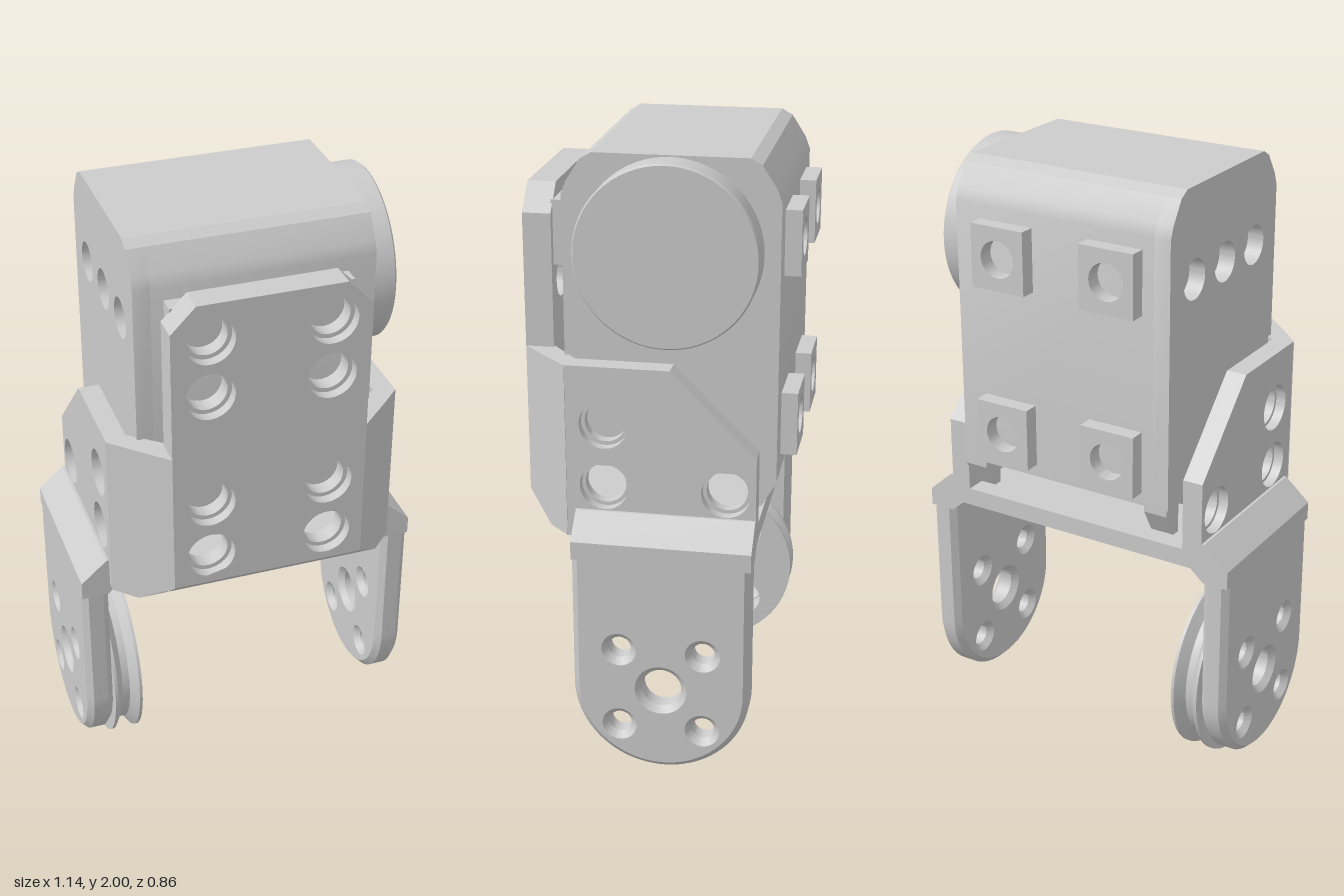
import * as THREE from 'three';
import { toCreasedNormals } from 'three/addons/utils/BufferGeometryUtils.js';

const grey = new THREE.MeshStandardMaterial({ color: 0xcccccc });
const AXIS_Y = 0.31, HORN_Y = 1.71, AXIS_Z = -0.045; // joint axes run along x

function makeShape(points, holes = []) {
  const shape = new THREE.Shape(points.map(([a, b]) => new THREE.Vector2(a, b)));
  for (const [a, b, r] of holes) shape.holes.push(new THREE.Path().absarc(a, b, r, 0, Math.PI * 2, true));
  return shape;
}

// Extrude a shape from lo to hi along an axis. Shape planes: x -> (z,y), y -> (x,z), z -> (x,y)
function extrude(shape, axis, lo, hi, bevel = 0) {
  const geo = new THREE.ExtrudeGeometry(shape, {
    depth: hi - lo - 2 * bevel, curveSegments: 24, bevelEnabled: bevel > 0,
    bevelThickness: bevel, bevelSize: bevel, bevelOffset: -bevel, bevelSegments: 1,
  });
  geo.translate(0, 0, bevel);
  if (axis === 'x') geo.rotateY(-Math.PI / 2).translate(hi, 0, 0);
  else if (axis === 'y') geo.rotateX(Math.PI / 2).translate(0, hi, 0);
  else geo.translate(0, 0, lo);
  return geo;
}

// Slope the lower front edge of the bracket
function slopeBottom(geo) {
  const p = geo.attributes.position;
  for (let i = 0; i < p.count; i++) {
    if (p.getY(i) < 0.8) p.setY(i, 0.79 + Math.max(0, p.getZ(i) - 0.34) * 0.9);
  }
  geo.computeVertexNormals();
  return geo;
}

export function createModel() {
  const model = new THREE.Group();
  const add = (name, geo, parent = model) => {
    const mesh = new THREE.Mesh(toCreasedNormals(geo, 0.45), grey);
    mesh.name = name;
    parent.add(mesh);
    return mesh;
  };
  const group = (name) => {
    const g = new THREE.Group();
    g.name = name;
    model.add(g);
    return g;
  };

  // Motor housing, with a row of blind holes on its right end
  const motor = group('motor');
  const profile = [[0.29, 1.08], [0.29, 1.87], [0.275, 1.91], [0.23, 1.98], [0.195, 2], [-0.285, 2],
    [-0.32, 1.98], [-0.365, 1.91], [-0.38, 1.87], [-0.38, 0.995], [0.23, 0.995]];
  add('housing', extrude(makeShape(profile), 'x', -0.33, 0.38), motor);
  const endHoles = [-0.19, 0, 0.19].map((d) => [AXIS_Z + d, HORN_Y, 0.065]);
  add('housingEnd', extrude(makeShape(profile, endHoles), 'x', -0.385, -0.33), motor);
  for (const s of [-1, 1]) {
    const lug = makeShape([[-0.38, 1.0], [-0.38, 0.975], [-0.335, 0.895], [-0.305, 0.895], [-0.305, 1.0]]);
    add('housingLug', extrude(lug, 'x', s * 0.34 - 0.04, s * 0.34 + 0.04), motor);
  }
  const connector = new THREE.BoxGeometry(0.05, 0.2, 0.12);
  add('connector', connector.translate(-0.408, 1.15, -0.02), motor);

  // Round output cover on the left end
  const cover = new THREE.LatheGeometry([[0, 0.37], [0.285, 0.37], [0.285, 0.47], [0.28, 0.476], [0, 0.476]]
    .map(([r, x]) => new THREE.Vector2(r, x)), 64);
  add('outputCover', cover.rotateZ(-Math.PI / 2).translate(0, HORN_Y, AXIS_Z), motor);

  // Square mounting pads with screw holes, back and front
  for (const x of [-0.195, 0.195]) {
    for (const y of [1.14, 1.725]) {
      const square = [[x - 0.095, y - 0.103], [x + 0.095, y - 0.103], [x + 0.095, y + 0.103], [x - 0.095, y + 0.103]];
      const pad = makeShape(square, [[x, y, 0.06]]);
      add('backPad', extrude(pad, 'z', -0.432, -0.379), motor);
      add('frontPad', extrude(makeShape(square), 'z', 0.28, 0.345), motor);
    }
  }

  // Front plate: two layers give stepped screw holes
  const bracket = group('bracket');
  const frontOutline = [[-0.315, 0.79], [0.315, 0.79], [0.315, 1.79], [0.235, 1.872], [-0.235, 1.872], [-0.315, 1.79]];
  const frontHoles = (r) => [-0.193, 0.193].flatMap((x) => [0.975, 1.17, 1.56, 1.75].map((y) => [x, y, r]));
  for (const [z0, z1, r] of [[0.34, 0.395, 0.065], [0.395, 0.43, 0.079]]) {
    add('frontPlate', slopeBottom(extrude(makeShape(frontOutline, frontHoles(r)), 'z', z0, z1)), bracket);
  }

  // Floor joining the two sides, with a cable slot
  const floor = makeShape([[-0.45, -0.33], [0.45, -0.33], [0.45, 0.27], [0.4, 0.34], [-0.4, 0.34], [-0.45, 0.27]]);
  floor.holes.push(new THREE.Path([[-0.38, -0.06], [-0.38, 0.06], [-0.22, 0.06], [-0.22, -0.06]]
    .map(([x, z]) => new THREE.Vector2(x, z))));
  add('floor', extrude(floor, 'y', 0.79, 0.85), bracket);

  const sideOutline = [[0.27, 0.79], [0.27, 1.36], [-0.06, 1.36], [-0.33, 1.09], [-0.33, 0.79]];
  const sideHoles = (r) => [[0.15, 1.17, r], [0.15, 0.965, r], [-0.235, 0.965, r]];
  for (const s of [-1, 1]) {
    const span = (a, b) => (s > 0 ? [a, b] : [-b, -a]);
    const mirror = (pts) => pts.map(([x, b]) => [s * x, b]);

    // Slanted wall between the front plate and the side plate
    const wall = [[0.315, 0.43], [0.41, 0.34], [0.48, 0.27], [0.41, 0.25], [0.3, 0.34]];
    add('slantedWall', slopeBottom(extrude(makeShape(mirror(wall)), 'y', 0.79, 1.36)), bracket);

    // Side plate with stepped screw holes
    for (const [a, b, r] of [[0.41, 0.445, 0.065], [0.445, 0.478, 0.077]]) {
      add('sidePlate', extrude(makeShape(sideOutline, sideHoles(r)), 'x', ...span(a, b)), bracket);
    }

    // Shoulder stepping outwards to the leg
    const shoulder = [[0.44, 0.79], [0.44, 0.885], [0.487, 0.885], [0.572, 0.81], [0.572, 0.75], [0.485, 0.75]];
    add('shoulder', extrude(makeShape(mirror(shoulder)), 'z', -0.33, 0.24), bracket);

    // Leg: straight strip with a round lower end and countersunk holes
    const leg = new THREE.Shape();
    leg.moveTo(AXIS_Z + 0.285, 0.79);
    leg.lineTo(AXIS_Z - 0.285, 0.79);
    leg.lineTo(AXIS_Z - 0.285, AXIS_Y);
    leg.absarc(AXIS_Z, AXIS_Y, 0.285, Math.PI, Math.PI * 2, false);
    leg.closePath();
    const legHoles = [[AXIS_Z, AXIS_Y, 0.064]];
    for (const dz of [-0.135, 0.135]) {
      for (const dy of [-0.135, 0.135]) legHoles.push([AXIS_Z + dz, AXIS_Y + dy, 0.036]);
    }
    for (const [z, y, r] of legHoles) leg.holes.push(new THREE.Path().absarc(z, y, r, 0, Math.PI * 2, true));
    add('leg', extrude(leg, 'x', ...span(0.482, 0.572), 0.02), bracket);
  }

  // Grooved idler wheel inside the right leg
  const wheel = group('idlerWheel');
  const disc = new THREE.Shape().absarc(AXIS_Z, AXIS_Y, 0.265, 0, Math.PI * 2, false);
  const wheelHoles = [[0, 0]];
  for (const a of [-0.135, 0.135]) for (const b of [-0.135, 0.135]) wheelHoles.push([a, b]);
  for (const [a, b] of wheelHoles) {
    disc.holes.push(new THREE.Path().absarc(AXIS_Z + a, AXIS_Y + b, 0.06, 0, Math.PI * 2, true));
  }
  add('wheelDisc', extrude(disc, 'x', -0.482, -0.387), wheel);
  const rim = new THREE.LatheGeometry([[0.262, -0.482], [0.305, -0.482], [0.305, -0.472], [0.268, -0.447],
    [0.268, -0.422], [0.305, -0.397], [0.305, -0.387], [0.262, -0.387]]
    .map(([r, x]) => new THREE.Vector2(r, x)), 64);
  add('wheelRim', rim.rotateZ(-Math.PI / 2).translate(0, AXIS_Y, AXIS_Z), wheel);

  return model;
}
